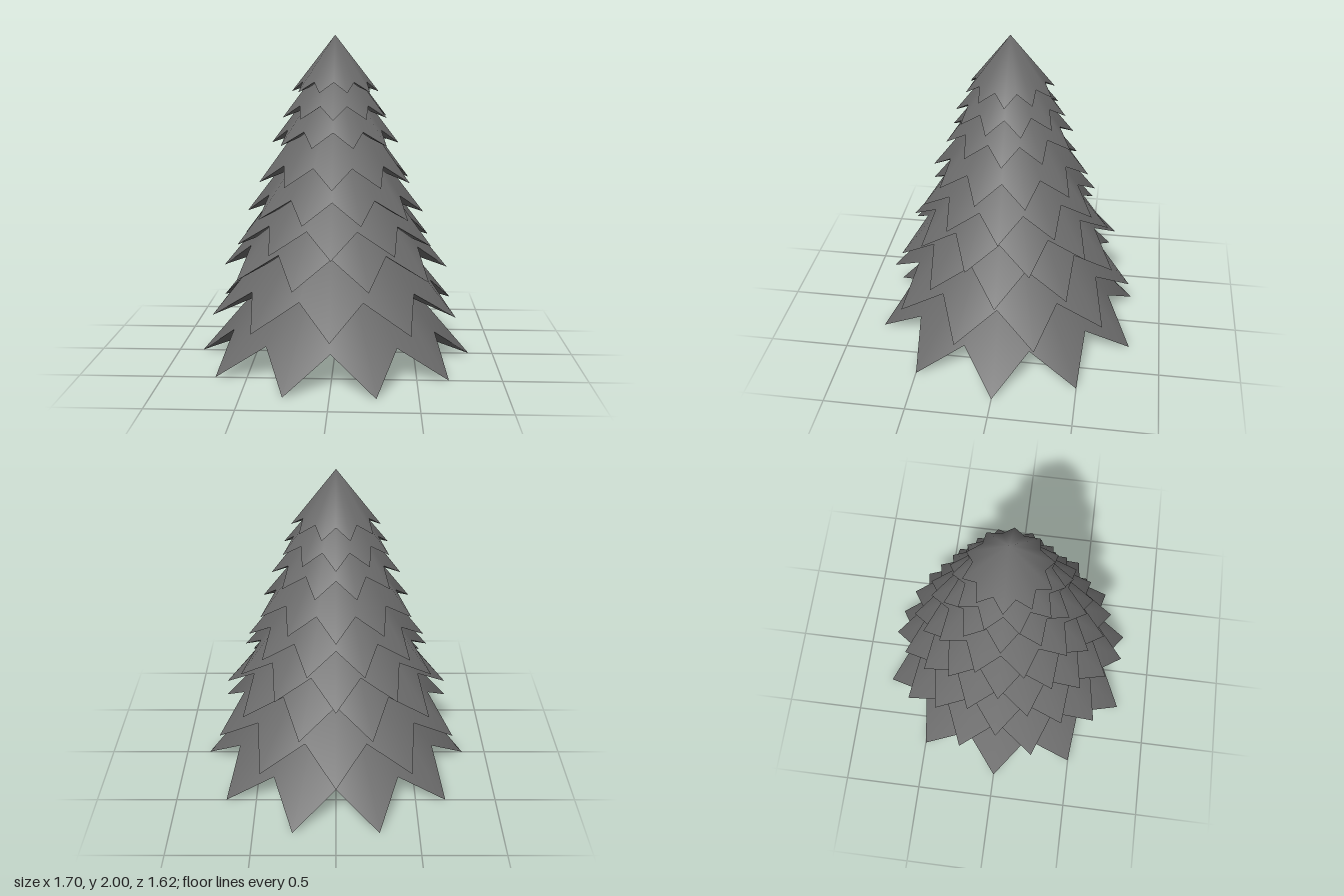
import * as THREE from 'three';

const POINTS = 10;

// Star-shaped rim: long low tips alternating with short raised notches
function starRim(radius, tipY, notchY, turn) {
  const rim = [];
  for (let i = 0; i < POINTS * 2; i++) {
    const a = turn + (i * Math.PI) / POINTS;
    const tip = i % 2 === 0;
    const r = tip ? radius : radius * 0.765;
    rim.push([r * Math.cos(a), tip ? tipY : notchY, r * Math.sin(a)]);
  }
  return rim;
}

// Fan of triangles from a centre point to a closed rim
function fan(centreY, rim, facesUp) {
  const n = rim.length;
  const index = [];
  for (let i = 0; i < n; i++) {
    const a = 1 + i, b = 1 + ((i + 1) % n);
    index.push(0, ...(facesUp ? [b, a] : [a, b]));
  }
  const g = new THREE.BufferGeometry();
  g.setAttribute('position', new THREE.Float32BufferAttribute([0, centreY, 0, ...rim.flat()], 3));
  g.setIndex(index);
  g.computeVertexNormals();
  return g;
}

export function createModel() {
  const tree = new THREE.Group();
  tree.name = 'firTree';
  const needles = new THREE.MeshStandardMaterial({ color: 0x6b6b6b });

  // Branch tiers, bottom to top: tip radius, tip height, notch height, peak height
  const tiers = [
    [0.85, 0.0, 0.2, 0.99],
    [0.78, 0.305, 0.48, 1.24],
    [0.7, 0.565, 0.725, 1.42],
    [0.62, 0.735, 0.87, 1.53],
    [0.548, 0.915, 1.035, 1.63],
    [0.48, 1.115, 1.225, 1.75],
    [0.39, 1.345, 1.43, 1.86],
    [0.33, 1.505, 1.58, 1.93],
    [0.265, 1.66, 1.72, 2.0],
  ];

  tiers.forEach(([radius, tipY, notchY, peakY], i) => {
    // Every other tier is turned by half a point
    const rim = starRim(radius, tipY, notchY, (i % 2) * (Math.PI / POINTS));
    const tier = new THREE.Group();
    tier.name = `branchTier${i + 1}`;

    const top = new THREE.Mesh(fan(peakY, rim, true), needles);
    top.name = 'branchTop';

    // Shallow hollow underside
    const hollowY = tipY + (notchY - tipY) * 1.55;
    const underside = new THREE.Mesh(fan(hollowY, rim, false), needles);
    underside.name = 'branchUnderside';

    tier.add(top, underside);
    tree.add(tier);
  });

  return tree;
}
